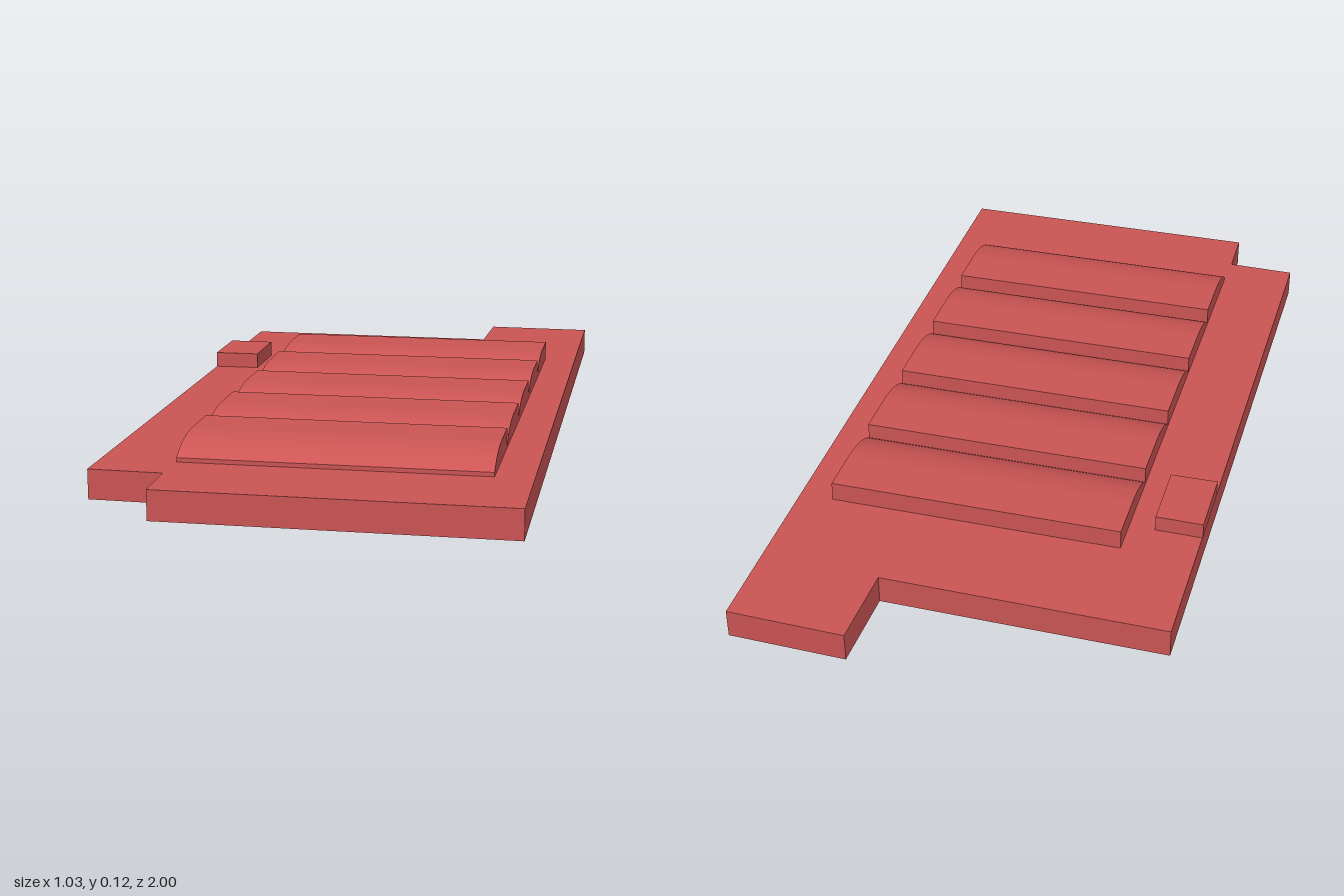
import * as THREE from 'three';

const material = new THREE.MeshStandardMaterial({ color: 0xcd5555, flatShading: true });

// Extrudes a plan outline given as [x, z] points upward from y0 to y1
function slab(name, outline, y0, y1) {
  const shape = new THREE.Shape(outline.map(([x, z]) => new THREE.Vector2(x, -z)));
  const geometry = new THREE.ExtrudeGeometry(shape, { depth: y1 - y0, bevelEnabled: false });
  geometry.rotateX(-Math.PI / 2);
  geometry.translate(0, y0, 0);
  const mesh = new THREE.Mesh(geometry, material);
  mesh.name = name;
  return mesh;
}

export function createModel() {
  const model = new THREE.Group();
  model.name = 'sawtoothRoofBuilding';
  const baseTop = 0.07;

  // Flat main hall with a rear wing and a notched front corner
  model.add(slab('mainHall', [
    [-0.515, -0.78], [0.175, -0.79], [0.175, -1], [0.46, -1],
    [0.515, 0.983], [-0.295, 1], [-0.301, 0.865], [-0.476, 0.865],
  ], 0, baseTop));

  // Small rooftop block at the edge
  model.add(slab('roofBlock', [
    [-0.508, -0.432], [-0.392, -0.434], [-0.387, -0.259], [-0.503, -0.255],
  ], baseTop, 0.109));

  // Row of roof ridges: upright back, flat top, curved front
  const width = 0.72, pitch = 0.2594, depth = 0.256;
  const profile = new THREE.Shape();
  profile.moveTo(0, baseTop);
  profile.lineTo(depth, baseTop);
  profile.lineTo(depth, 0.08);
  profile.quadraticCurveTo(0.205, 0.116, 0.12, 0.118);
  profile.lineTo(0, 0.118);
  profile.closePath();
  const ridge = new THREE.ExtrudeGeometry(profile, { depth: width, bevelEnabled: false, curveSegments: 8 });
  ridge.rotateY(-Math.PI / 2);
  ridge.translate(width, 0, 0);

  const ridges = new THREE.Group();
  ridges.name = 'roofRidges';
  ridges.position.set(-0.331, 0, -0.525);
  ridges.rotation.y = 0.024;
  for (let i = 0; i < 5; i++) {
    const mesh = new THREE.Mesh(ridge, material);
    mesh.name = `roofRidge${i + 1}`;
    mesh.position.z = i * pitch;
    ridges.add(mesh);
  }
  model.add(ridges);
  return model;
}
